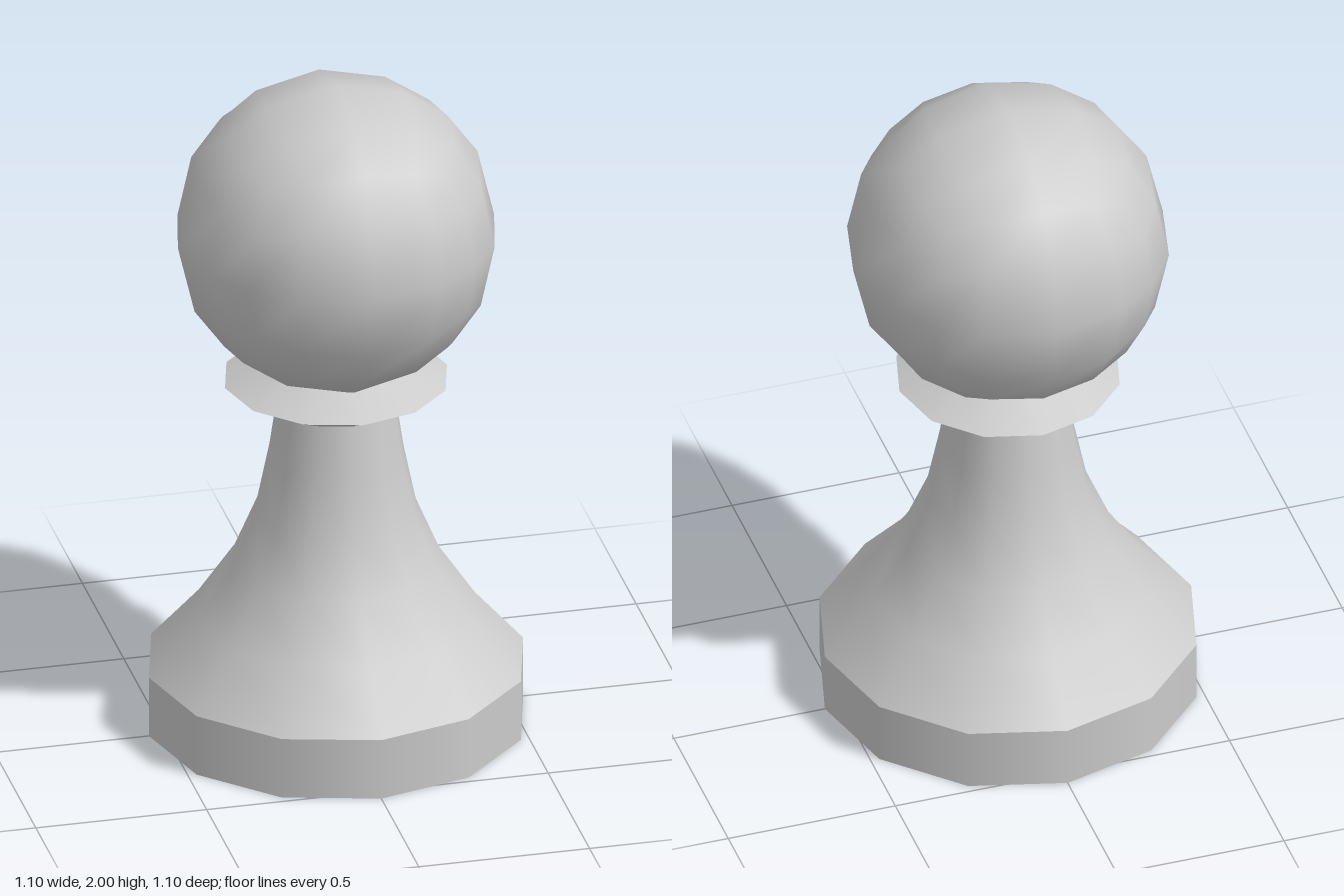
import * as THREE from 'three';

const SIDES = 12;
const material = new THREE.MeshStandardMaterial({ color: 0xcccccc });

function addMesh(parent, name, geometry) {
  const mesh = new THREE.Mesh(geometry, material);
  mesh.name = name;
  parent.add(mesh);
  return mesh;
}

// Turned surface from [radius, height] pairs; separate calls keep the edge between them sharp
function addTurned(parent, name, profile) {
  const points = profile.map(([r, y]) => new THREE.Vector2(r, y));
  return addMesh(parent, name, new THREE.LatheGeometry(points, SIDES));
}

// Round ball made from a subdivided cube pushed out to a sphere
function cubeSphere(radius, segments) {
  const geometry = new THREE.BoxGeometry(2, 2, 2, segments, segments, segments);
  const { position, normal } = geometry.attributes;
  const v = new THREE.Vector3();
  for (let i = 0; i < position.count; i++) {
    v.fromBufferAttribute(position, i).normalize();
    normal.setXYZ(i, v.x, v.y, v.z);
    v.multiplyScalar(radius);
    position.setXYZ(i, v.x, v.y, v.z);
  }
  return geometry;
}

export function createModel() {
  const model = new THREE.Group();
  model.name = 'pawn';

  // Base disc
  const base = new THREE.Group();
  base.name = 'base';
  addTurned(base, 'baseBottom', [[0, 0], [0.548, 0]]);
  addTurned(base, 'baseRim', [[0.548, 0], [0.548, 0.185]]);
  model.add(base);

  // Flared stem
  addTurned(model, 'stem', [
    [0.548, 0.185], [0.407, 0.345], [0.3, 0.505],
    [0.233, 0.665], [0.198, 0.835], [0.173, 1.0],
  ]);

  // Sharp-edged collar under the ball
  const collar = new THREE.Group();
  collar.name = 'collar';
  addTurned(collar, 'collarUnderside', [[0.173, 1.0], [0.325, 1.077]]);
  addTurned(collar, 'collarTop', [[0.325, 1.077], [0.17, 1.145]]);
  model.add(collar);

  // Ball head
  addMesh(model, 'head', cubeSphere(0.463, 4)).position.y = 1.537;

  return model;
}
